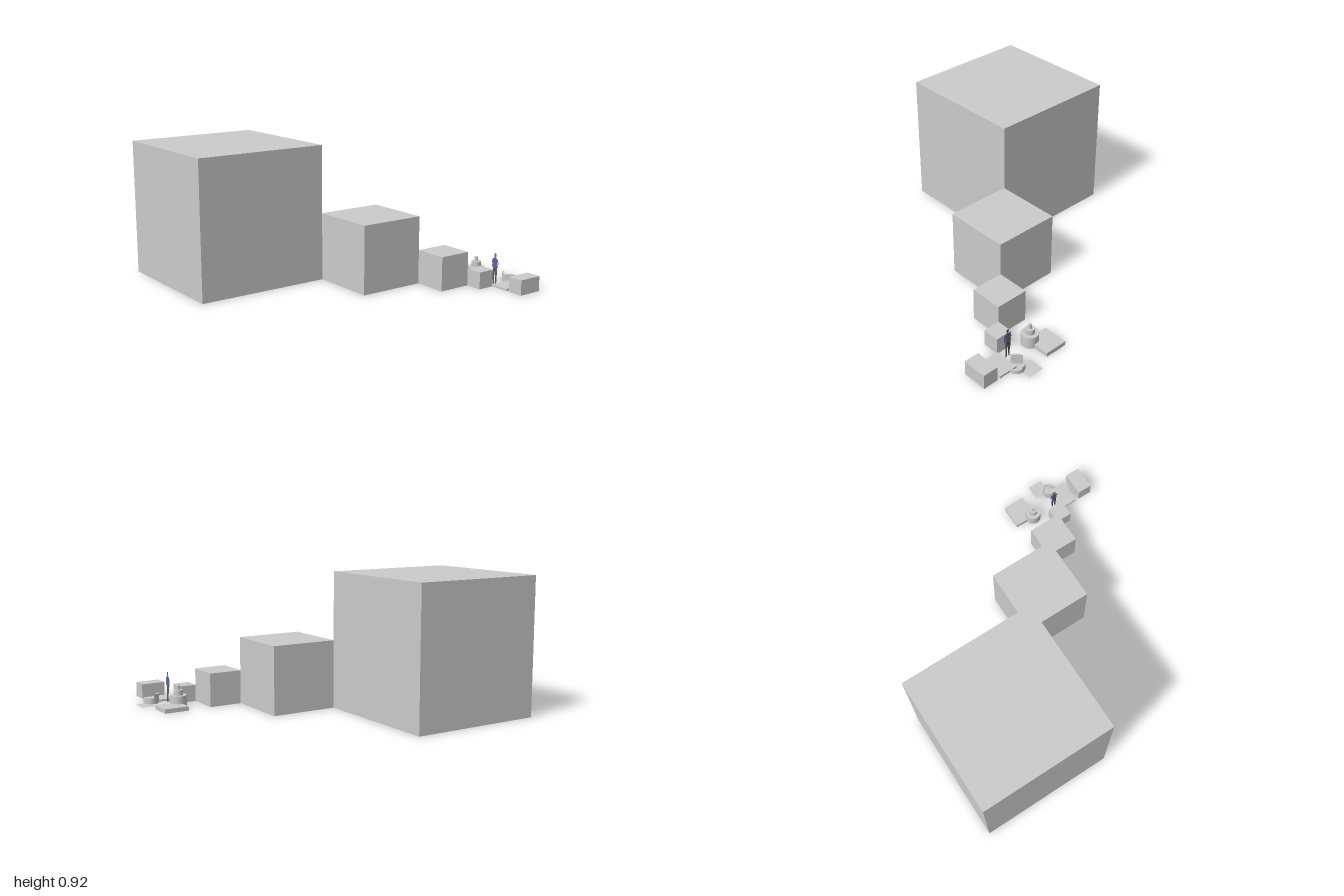
import * as THREE from 'three';

const grey = new THREE.MeshStandardMaterial({ color: 0xcccccc, side: THREE.DoubleSide });
const paint = (color) => new THREE.MeshStandardMaterial({ color, side: THREE.DoubleSide });

function add(parent, name, geometry, material = grey) {
  const mesh = new THREE.Mesh(geometry, material);
  mesh.name = name;
  parent.add(mesh);
  return mesh;
}

// Box standing on the ground, given by its x and z limits and height
function block(parent, name, x0, x1, z0, z1, h) {
  add(parent, name, new THREE.BoxGeometry(x1 - x0, h, z1 - z0))
    .position.set((x0 + x1) / 2, h / 2, (z0 + z1) / 2);
}

// Closed quarter cylinder with its corner at the origin, starting at the given angle
function quarter(radius, h, start) {
  const shape = new THREE.Shape();
  shape.moveTo(0, 0);
  shape.absarc(0, 0, radius, start, start + Math.PI / 2, false);
  shape.closePath();
  const g = new THREE.ExtrudeGeometry(shape, { depth: h, bevelEnabled: false, curveSegments: 8 });
  return g.rotateX(-Math.PI / 2);
}

// Flat polygon in the figure's plane
const flat = (points) => new THREE.ShapeGeometry(
  new THREE.Shape(points.map(([x, y]) => new THREE.Vector2(x, y))));

function createFigure() {
  const figure = new THREE.Group();
  figure.name = 'flatFigure';
  const skin = paint(0x8a6a58), shirt = paint(0x5568a8), trousers = paint(0x55555c), shoe = paint(0x333333);

  add(figure, 'head', new THREE.CircleGeometry(0.011, 12).scale(0.9, 1.2, 1), skin).position.y = 0.194;
  add(figure, 'hair', new THREE.CircleGeometry(0.0105, 10, 0, Math.PI), shoe).position.set(0, 0.198, 0.0004);
  add(figure, 'neck', flat([[-0.004, 0.175], [0.004, 0.175], [0.004, 0.186], [-0.004, 0.186]]), skin);
  add(figure, 'torso', flat([[-0.018, 0.108], [0.018, 0.108], [0.019, 0.15], [0.024, 0.17],
    [0.008, 0.179], [-0.008, 0.179], [-0.024, 0.17], [-0.019, 0.15]]), shirt);
  for (const s of [-1, 1]) {
    const p = (list) => flat(list.map(([x, y]) => [x * s, y]));
    add(figure, 'sleeve', p([[0.018, 0.172], [0.024, 0.17], [0.031, 0.142], [0.022, 0.14]]), shirt);
    add(figure, 'forearm', p([[0.023, 0.141], [0.030, 0.142], [0.025, 0.112], [0.019, 0.114]]), skin);
    add(figure, 'trouserLeg', p([[0, 0.11], [0.018, 0.11], [0.019, 0.07], [0.016, 0.006],
      [0.006, 0.006], [0.004, 0.06], [0, 0.092]]), trousers);
    add(figure, 'shoe', p([[0.005, 0], [0.021, 0], [0.016, 0.008], [0.006, 0.008]]), shoe);
  }
  figure.rotation.y = Math.PI / 2;
  figure.position.set(0.777, 0, 0.698);
  return figure;
}

export function createModel() {
  const model = new THREE.Group();
  model.name = 'steppedBlocks';

  // Cubes that halve in size and meet corner to corner
  let x = -1, z = -0.99, size = 0.918;
  for (let i = 0; i < 4; i++) {
    block(model, 'cube' + (i + 1), x, x + size, z, z + size, size);
    x += size;
    z += size;
    size /= 2;
  }

  // Low slabs and the front block
  block(model, 'thinSlab', 0.721, 0.889, 0.731, 0.862, 0.0143);
  block(model, 'frontBlock', 0.721, 0.889, 0.884, 0.988, 0.102);
  block(model, 'sideSlab', 0.774, 0.945, 0.373, 0.53, 0.029);

  // Square sheet on the ground
  add(model, 'groundSheet', new THREE.PlaneGeometry(0.111, 0.111).rotateX(-Math.PI / 2))
    .position.set(0.9445, 0.0005, 0.6755);

  // Three quarter-round steps rising around one corner
  [0.027, 0.041, 0.068].forEach((h, i) => {
    add(model, 'quarterStep' + (i + 1), quarter(0.053, h, (i - 1) * Math.PI / 2))
      .position.set(0.889, 0, 0.731);
  });

  // Stacked round tower
  const tower = new THREE.Group();
  tower.name = 'roundTower';
  let y = 0;
  for (const [r, h] of [[0.057, 0.082], [0.031, 0.036], [0.012, 0.031]]) {
    add(tower, 'tier', new THREE.CylinderGeometry(r, r, h, 24)).position.y = y + h / 2;
    y += h;
  }
  tower.position.set(0.782, 0, 0.517);
  model.add(tower);

  model.add(createFigure());
  return model;
}
